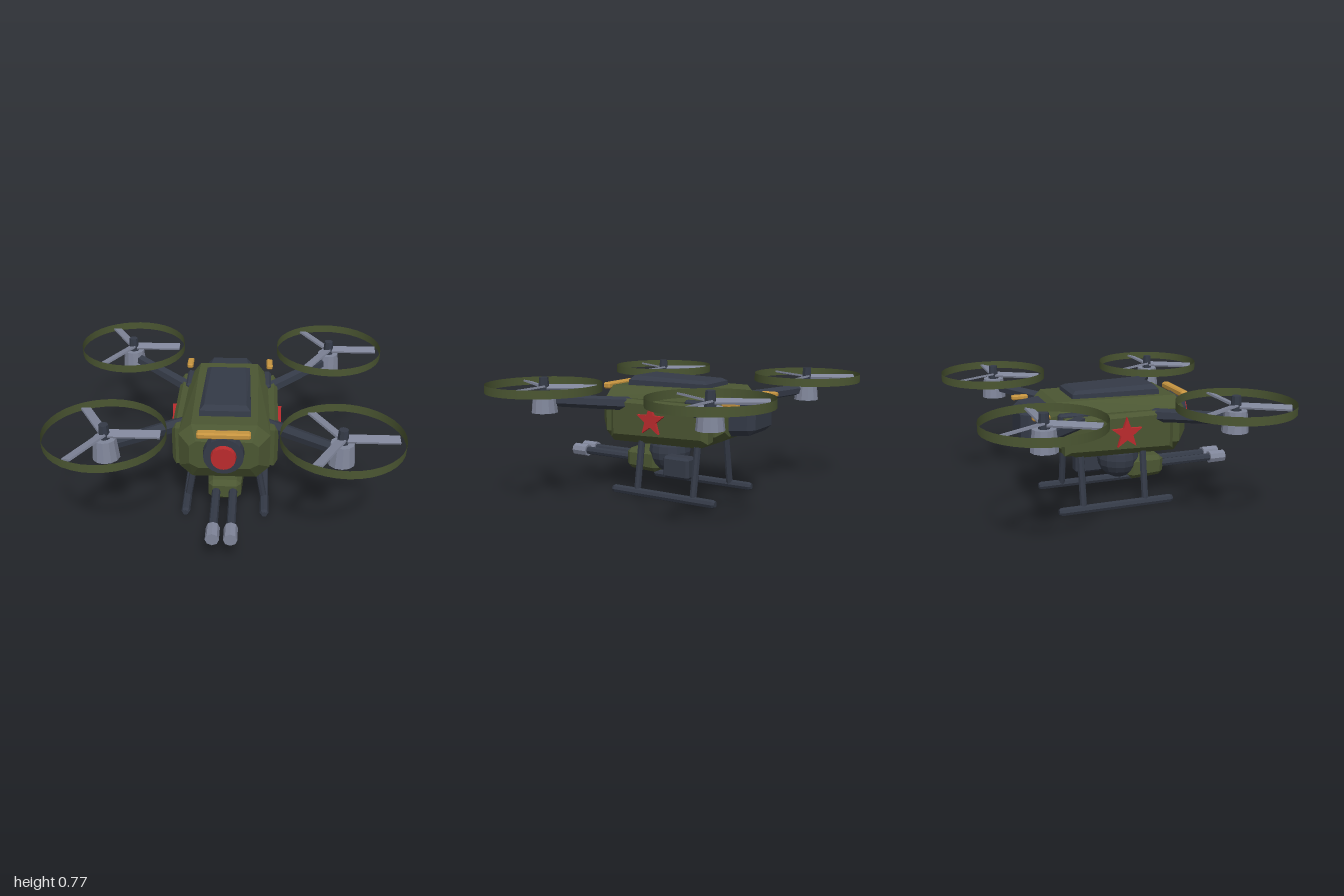
import * as THREE from 'three';
import { ConvexGeometry } from 'three/addons/geometries/ConvexGeometry.js';

const paint = (name, color, side = THREE.FrontSide) => {
  const m = new THREE.MeshStandardMaterial({ color, side });
  m.name = name;
  return m;
};

// Faceted copy of a geometry
function flat(g) {
  const f = g.index ? g.toNonIndexed() : g;
  f.computeVertexNormals();
  return f;
}

// Box with all edges chamfered; front and back ends can be scaled by the given factors
function chamferBox(w, h, d, c, frontScale = 1, backScale = 1) {
  const pts = [];
  for (const sx of [-1, 1]) for (const sy of [-1, 1]) for (const sz of [-1, 1]) {
    const k = sz > 0 ? frontScale : backScale;
    for (const [a, b, e] of [[0, c, c], [c, 0, c], [c, c, 0]]) {
      pts.push(new THREE.Vector3(sx * (w / 2 - a) * k, sy * (h / 2 - b) * k, sz * (d / 2 - e)));
    }
  }
  return new ConvexGeometry(pts);
}

// Faceted cylinder or frustum between two points
function rod(a, b, ra, rb, sides) {
  const p = new THREE.Vector3(...a), q = new THREE.Vector3(...b);
  const dir = q.clone().sub(p);
  const g = new THREE.CylinderGeometry(rb, ra, dir.length(), sides);
  g.applyQuaternion(new THREE.Quaternion().setFromUnitVectors(new THREE.Vector3(0, 1, 0), dir.normalize()));
  const mid = p.add(q).multiplyScalar(0.5);
  return flat(g.translate(mid.x, mid.y, mid.z));
}

export function createModel() {
  const olive = paint('olive', 0x4b5632);
  const oliveThin = paint('oliveThin', 0x4b5632, THREE.DoubleSide);
  const dark = paint('darkSlate', 0x343a47);
  const grey = paint('steelGrey', 0x80869a);
  const red = paint('red', 0xbb2b2d);
  const gold = paint('amber', 0xc6943f);

  const model = new THREE.Group();
  model.name = 'armedQuadcopter';
  const add = (name, geometry, material, x = 0, y = 0, z = 0, parent = model) => {
    const m = new THREE.Mesh(geometry, material);
    m.name = name;
    m.position.set(x, y, z);
    parent.add(m);
    return m;
  };

  // Hull: octagonal sections [z, side x, top x, bottom x, y bottom, y lower, y upper, y top]
  const sections = [
    [0.466, 0.20, 0.16, 0.15, 0.43, 0.46, 0.58, 0.61],
    [0.40, 0.265, 0.19, 0.19, 0.33, 0.405, 0.62, 0.685],
    [-0.23, 0.25, 0.19, 0.18, 0.338, 0.41, 0.625, 0.695],
    [-0.36, 0.235, 0.185, 0.17, 0.39, 0.43, 0.63, 0.695],
    [-0.41, 0.205, 0.165, 0.15, 0.425, 0.46, 0.61, 0.655],
  ];
  const hull = [];
  for (const [z, w, wt, wb, y0, y1, y2, y3] of sections) for (const s of [-1, 1]) {
    for (const [x, y] of [[wb, y0], [w, y1], [w, y2], [wt, y3]]) hull.push(new THREE.Vector3(s * x, y, z));
  }
  add('body', new ConvexGeometry(hull), olive);

  // Top hatch, wider at its base
  const hatch = [];
  for (const s of [-1, 1]) {
    for (const [x, y, z] of [[0.152, 0.68, 0.31], [0.137, 0.68, -0.25], [0.15, 0.72, 0.305], [0.136, 0.72, -0.245],
      [0.122, 0.747, 0.28], [0.108, 0.737, -0.22]]) hatch.push(new THREE.Vector3(s * x, y, z));
  }
  add('topHatch', new ConvexGeometry(hatch), dark);

  // Rear pack, front eye and brow light
  add('rearPack', chamferBox(0.33, 0.25, 0.22, 0.04, 1, 0.88), dark, 0, 0.545, -0.452);
  add('eyeHousing', rod([0, 0.543, 0.42], [0, 0.543, 0.515], 0.122, 0.116, 20), dark);
  add('eyeLens', rod([0, 0.543, 0.5], [0, 0.543, 0.542], 0.077, 0.07, 20), red);
  add('browLight', chamferBox(0.306, 0.04, 0.05, 0.009), gold, 0, 0.67, 0.484);

  // Five-pointed star outline
  const star = new THREE.Shape();
  for (let i = 0; i < 10; i++) {
    const r = i % 2 ? 0.04 : 0.099, a = Math.PI / 2 + i * Math.PI / 5;
    star[i ? 'lineTo' : 'moveTo'](r * Math.cos(a), r * Math.sin(a));
  }
  star.closePath();
  const starGeometry = new THREE.ExtrudeGeometry(star, { depth: 0.026, bevelEnabled: false });

  for (const s of [-1, 1]) {
    const side = s > 0 ? 'left' : 'right';

    // Side armour with star, shoulder block and tail light
    const panel = [];
    for (const [x, y0, y1, z0, z1] of [[0.235, 0.385, 0.615, -0.35, 0.345], [0.29, 0.375, 0.622, -0.345, 0.345],
      [0.313, 0.40, 0.60, -0.31, 0.315]]) {
      for (const y of [y0, y1]) for (const z of [z0, z1]) {
        panel.push(new THREE.Vector3(s * x, y + (y === y0 && z < 0 ? 0.018 : 0), z));
      }
    }
    add(side + 'SidePanel', new ConvexGeometry(panel), olive);
    add(side + 'Star', starGeometry, red, s * 0.308, 0.507, 0.03).rotation.y = s * Math.PI / 2;
    add(side + 'ShoulderBlock', chamferBox(0.05, 0.08, 0.2, 0.012), dark, s * 0.247, 0.6, -0.27);
    add(side + 'TailLight', chamferBox(0.04, 0.03, 0.105, 0.007), gold, s * 0.265, 0.635, -0.477);

    // Landing skid with tapered ends and two struts
    const skid = [[0, -0.372], [0.018, -0.372], [0.027, -0.355], [0.027, 0.355], [0.018, 0.372], [0, 0.372]];
    const skidGeometry = new THREE.LatheGeometry(skid.map(p => new THREE.Vector2(...p)), 8);
    add(side + 'Skid', flat(skidGeometry.rotateX(Math.PI / 2)), dark, s * 0.243, 0.027, 0);
    for (const z of [0.19, -0.215]) {
      add(side + 'Strut', rod([s * 0.238, 0.03, z], [s * 0.183, 0.345, z], 0.022, 0.022, 8), dark);
    }

    // Twin gun barrels and muzzles
    add(side + 'Barrel', rod([s * 0.051, 0.2, 0.34], [s * 0.051, 0.2, 0.74], 0.026, 0.026, 8), dark);
    add(side + 'Muzzle', rod([s * 0.051, 0.2, 0.722], [s * 0.051, 0.2, 0.83], 0.04, 0.04, 8), grey);
  }

  // Turret ball, gun mount and ammunition box
  add('turretBall', flat(new THREE.SphereGeometry(0.135, 14, 10)), dark, 0, 0.262, 0.095);
  add('gunMount', chamferBox(0.22, 0.148, 0.245, 0.03, 0.9, 1), olive, 0, 0.199, 0.255);
  add('ammoBox', chamferBox(0.1, 0.138, 0.185, 0.016), dark, 0.15, 0.2, -0.063);

  // Four rotors on arms
  const ring = new THREE.CylinderGeometry(0.344, 0.344, 0.05, 36, 1, true);
  const motor = flat(new THREE.CylinderGeometry(0.066, 0.079, 0.125, 12));
  const hub = flat(new THREE.CylinderGeometry(0.027, 0.034, 0.09, 8));
  const blade = new THREE.BoxGeometry(0.29, 0.012, 0.058).rotateX(0.25).translate(0.166, 0, 0);
  for (const sx of [-1, 1]) for (const sz of [-1, 1]) {
    const name = (sz > 0 ? 'front' : 'rear') + (sx > 0 ? 'Left' : 'Right');
    const x = sx * 0.656, z = sz * 0.563;
    add(name + 'Arm', rod([sx * 0.23, 0.583, sz * 0.205], [sx * 0.64, 0.632, sz * 0.55], 0.043, 0.035, 6), dark);
    const rotor = new THREE.Group();
    rotor.name = name + 'Rotor';
    rotor.position.set(x, 0, z);
    model.add(rotor);
    add('motor', motor, grey, 0, 0.623, 0, rotor);
    add('hub', hub, dark, 0, 0.725, 0, rotor);
    add('guardRing', ring, oliveThin, 0, 0.711, 0, rotor);
    for (let i = 0; i < 3; i++) add('blade', blade, grey, 0, 0.712, 0, rotor).rotation.y = i * Math.PI * 2 / 3;
  }
  return model;
}
